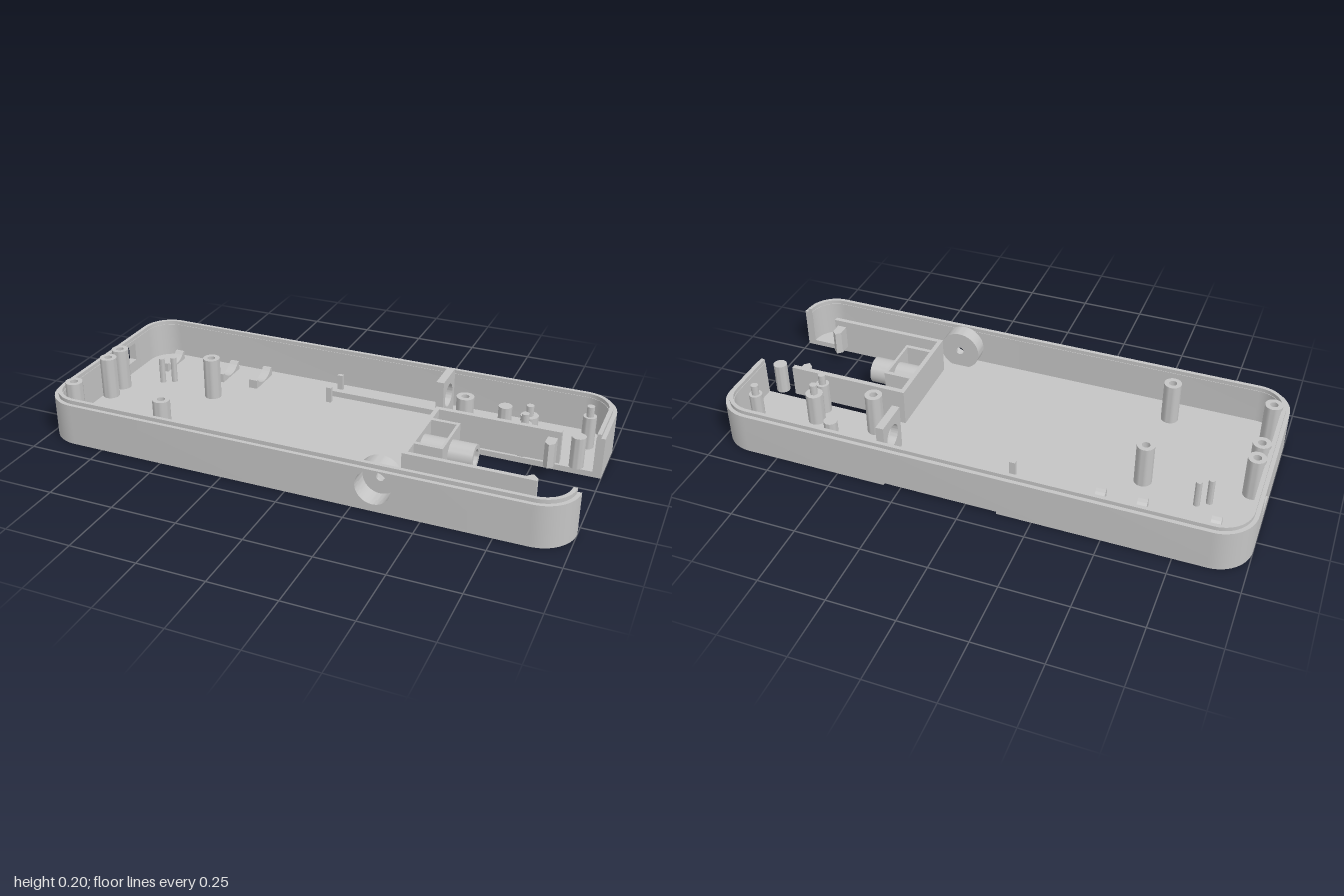
import * as THREE from 'three';
import { toCreasedNormals } from 'three/addons/utils/BufferGeometryUtils.js';

const X = 1, Z = 0.425, R = 0.13;            // half length, half width, corner radius
const GAP_B = -0.092, GAP_F = 0.292, GAP_X = 0.5; // bay cut into the right end

export function createModel() {
  const model = new THREE.Group();
  const grey = new THREE.MeshStandardMaterial({ color: 0xc4c4c4 });
  grey.name = 'light grey plastic';

  const add = (name, geo, x = 0, y = 0, z = 0) => {
    const mesh = new THREE.Mesh(toCreasedNormals(geo, 0.6), grey);
    mesh.name = name;
    mesh.position.set(x, y, z);
    model.add(mesh);
    return mesh;
  };
  // Box given by its limits on each axis
  const box = (name, x0, x1, y0, y1, z0, z1) =>
    add(name, new THREE.BoxGeometry(x1 - x0, y1 - y0, z1 - z0), (x0 + x1) / 2, (y0 + y1) / 2, (z0 + z1) / 2);
  // Plan outline [x, z] raised from y0 to y1
  const slab = (name, pts, y0, y1) => {
    const shape = new THREE.Shape(pts.map(([x, z]) => new THREE.Vector2(x, -z)));
    const geo = new THREE.ExtrudeGeometry(shape, { depth: y1 - y0, bevelEnabled: false });
    geo.rotateX(-Math.PI / 2);
    return add(name, geo, 0, y0, 0);
  };
  // Flat shape in x/y with thickness along z
  const plate = (shape, depth) =>
    new THREE.ExtrudeGeometry(shape, { depth, bevelEnabled: false, curveSegments: 32 });
  // Hollow post or tube, standing on its origin
  const tube = (r, hole, h, bottom) => new THREE.LatheGeometry([
    [0, 0], [r, 0], [r, h], [hole, h], [hole, bottom], [0, bottom],
  ].map(([a, b]) => new THREE.Vector2(a, b)), 28);

  // Perimeter points carry an outward normal so that they can be inset
  const corner = (sx, sz, a0) => Array.from({ length: 13 }, (_, i) => {
    const a = a0 + (i / 12) * Math.PI / 2, nx = Math.cos(a), nz = -Math.sin(a);
    return [sx * (X - R) + R * nx, sz * (Z - R) + R * nz, nx, nz];
  });
  const rightBack = [[X, GAP_B, 1, 0], ...corner(1, -1, 0)];
  const leftBack = corner(-1, -1, Math.PI / 2);
  const leftFront = corner(-1, 1, Math.PI);
  const rightFront = [...corner(1, 1, Math.PI * 1.5), [X, GAP_F, 1, 0]];
  const inset = (pts, d) => pts.map(([x, z, nx, nz]) => [x - nx * d, z - nz * d]);
  const band = (name, pts, d0, d1, y0, y1) =>
    slab(name, [...inset(pts, d0), ...inset(pts, d1).reverse()], y0, y1);

  // Floor, with a shallow recess underneath that opens at the back
  const bay = [[GAP_X, GAP_F], [GAP_X, GAP_B]];
  slab('undersideLayer', [
    ...inset(rightBack, 0),
    [0.315, -Z], [0.315, 0.26], [0.308, 0.278], [0.29, 0.285],
    [-0.095, 0.285], [-0.113, 0.278], [-0.12, 0.26], [-0.12, -Z],
    ...inset([...leftBack, ...leftFront, ...rightFront], 0), ...bay], 0, 0.01);
  const ring = [...rightBack, ...leftBack, ...leftFront, ...rightFront];
  slab('floor', [...inset(ring, 0.01), ...bay], 0.01, 0.022);

  // Outer wall, interrupted by the side window and the round front opening
  const winB = -0.185, winF = -0.08, holeL = 0.24, holeR = 0.42;
  band('backWall', [...rightBack, ...leftBack, [-X, winB, -1, 0]], 0, 0.032, 0.01, 0.16);
  band('frontLeftWall', [[-X, winF, -1, 0], ...leftFront, [holeL, Z, 0, 1]], 0, 0.032, 0.01, 0.16);
  band('frontRightWall', [[holeR, Z, 0, 1], ...rightFront], 0, 0.032, 0.01, 0.16);
  band('topLip', ring, 0.015, 0.03, 0.16, 0.175);
  box('windowSill', -X, -X + 0.032, 0.01, 0.07, winB, winF);
  box('windowHead', -X, -X + 0.032, 0.145, 0.16, winB, winF);

  // Round front opening with a cup behind it
  const cx = 0.327, cy = 0.093;
  const panel = new THREE.Shape();
  panel.moveTo(holeL, 0.01).lineTo(holeR, 0.01).lineTo(holeR, 0.16).lineTo(holeL, 0.16).closePath();
  panel.holes.push(new THREE.Path().absarc(cx, cy, 0.0655, 0, Math.PI * 2, true));
  add('frontOpening', plate(panel, 0.032), 0, 0, Z - 0.032);
  const disc = (r, hole) => {
    const s = new THREE.Shape().absarc(0, 0, r, 0, Math.PI * 2, false);
    s.holes.push(new THREE.Path().absarc(0, 0, hole, 0, Math.PI * 2, true));
    return s;
  };
  add('cupSide', plate(disc(0.08, 0.0655), 0.062), cx, cy, 0.338);
  add('cupBottom', plate(disc(0.08, 0.016), 0.012), cx, cy, 0.336);

  // Screw posts
  for (const [x, z] of [[-0.94, -0.031], [-0.94, 0.056], [-0.94, 0.292], [-0.56, -0.098], [-0.56, 0.292], [0.465, -0.168]])
    add('screwPost', tube(0.033, 0.015, 0.17, 0.08), x, 0.018, z);
  // Shouldered posts with a locating pin
  for (const [x, z, r] of [[0.705, -0.19, 0.033], [0.705, -0.122, 0.025], [0.91, -0.27, 0.025]]) {
    add('shoulderPost', new THREE.CylinderGeometry(r, r, 0.13, 28), x, 0.083, z);
    add('locatingPin', new THREE.CylinderGeometry(0.014, 0.014, 0.17, 20), x, 0.103, z);
  }
  for (const [x, z, y0, y1] of [[0.59, -0.285, 0.018, 0.118], [0.91, -0.08, 0.04, 0.16]])
    add('plainPost', new THREE.CylinderGeometry(0.026, 0.026, y1 - y0, 28), x, (y0 + y1) / 2, z);
  for (const [x, z] of [[-0.81, -0.13], [-0.77, -0.155]])
    add('thinPin', new THREE.CylinderGeometry(0.012, 0.012, 0.11, 16), x, 0.073, z);

  // Low curved cradles near the back wall
  const cradle = new THREE.Shape();
  cradle.moveTo(0, 0).lineTo(0.14, 0).lineTo(0.14, 0.04).lineTo(0.13, 0.04);
  cradle.absarc(0.07, 0.085, 0.075, -0.6435, -Math.PI + 0.6435, true);
  cradle.lineTo(0, 0.04).closePath();
  for (const x of [-0.857, -0.595, -0.443]) {
    const geo = plate(cradle, 0.036);
    geo.rotateY(-Math.PI / 2);
    add('cradle', geo, x + 0.018, 0.018, -0.36);
  }

  // Long guide rib, its stops and the upright bearing plate
  box('guideRib', -0.12, 0.33, 0.018, 0.045, -0.305, -0.28);
  for (const z of [-0.352, -0.232]) box('guideStop', -0.122, -0.1, 0.018, 0.085, z - 0.008, z + 0.008);
  const bearing = new THREE.Shape();
  bearing.moveTo(0, 0).lineTo(0.14, 0).lineTo(0.14, 0.182).lineTo(0, 0.182).closePath();
  bearing.holes.push(new THREE.Path().absarc(0.07, 0.1, 0.045, 0, Math.PI * 2, true));
  const bearingGeo = plate(bearing, 0.03);
  bearingGeo.rotateY(-Math.PI / 2);
  add('bearingPlate', bearingGeo, 0.365, 0.018, -0.357);

  // Bracket around the bay: end wall, side rails, pockets and catches
  box('bracketEnd', 0.378, 0.395, 0.018, 0.165, GAP_B, 0.285);
  for (const [out, inn, wall] of [[GAP_B, -0.072, 0.008], [0.285, 0.267, 0.197]]) {
    const lo = Math.min(out, inn), hi = Math.max(out, inn), s = Math.sign(inn - out);
    box('sideRail', 0.378, 0.85, 0.04, 0.165, lo, hi);
    box('railFoot', 0.378, GAP_X, 0.018, 0.04, lo, hi);
    box('pocketWall', 0.39, GAP_X, 0.018, 0.165, wall - 0.008, wall + 0.008);
    box('pocketFloor', 0.39, GAP_X, 0.018, 0.028, Math.min(inn, wall), Math.max(inn, wall));
    slab('catch', [[0.802, inn], [0.802, inn + s * 0.045], [0.82, inn + s * 0.062],
      [0.838, inn + s * 0.045], [0.838, inn]], 0.045, 0.14);
  }

  // Socket plate with a horizontal tube
  const socketPlate = new THREE.Shape();
  socketPlate.moveTo(0.015, 0.02).lineTo(0.19, 0.02).lineTo(0.19, 0.165).lineTo(0.015, 0.165).closePath();
  socketPlate.holes.push(new THREE.Path().absarc(0.1, 0.095, 0.045, 0, Math.PI * 2, true));
  const socketGeo = plate(socketPlate, 0.01);
  socketGeo.rotateY(-Math.PI / 2);
  add('socketPlate', socketGeo, GAP_X, 0, 0);
  const socket = add('socketTube', tube(0.05, 0.032, 0.2, 0.08), 0.39, 0.095, 0.1);
  socket.rotation.z = -Math.PI / 2;
  const pin = add('socketPin', new THREE.CylinderGeometry(0.012, 0.012, 0.08, 16), 0.5, 0.095, 0.1);
  pin.rotation.z = -Math.PI / 2;

  return model;
}
